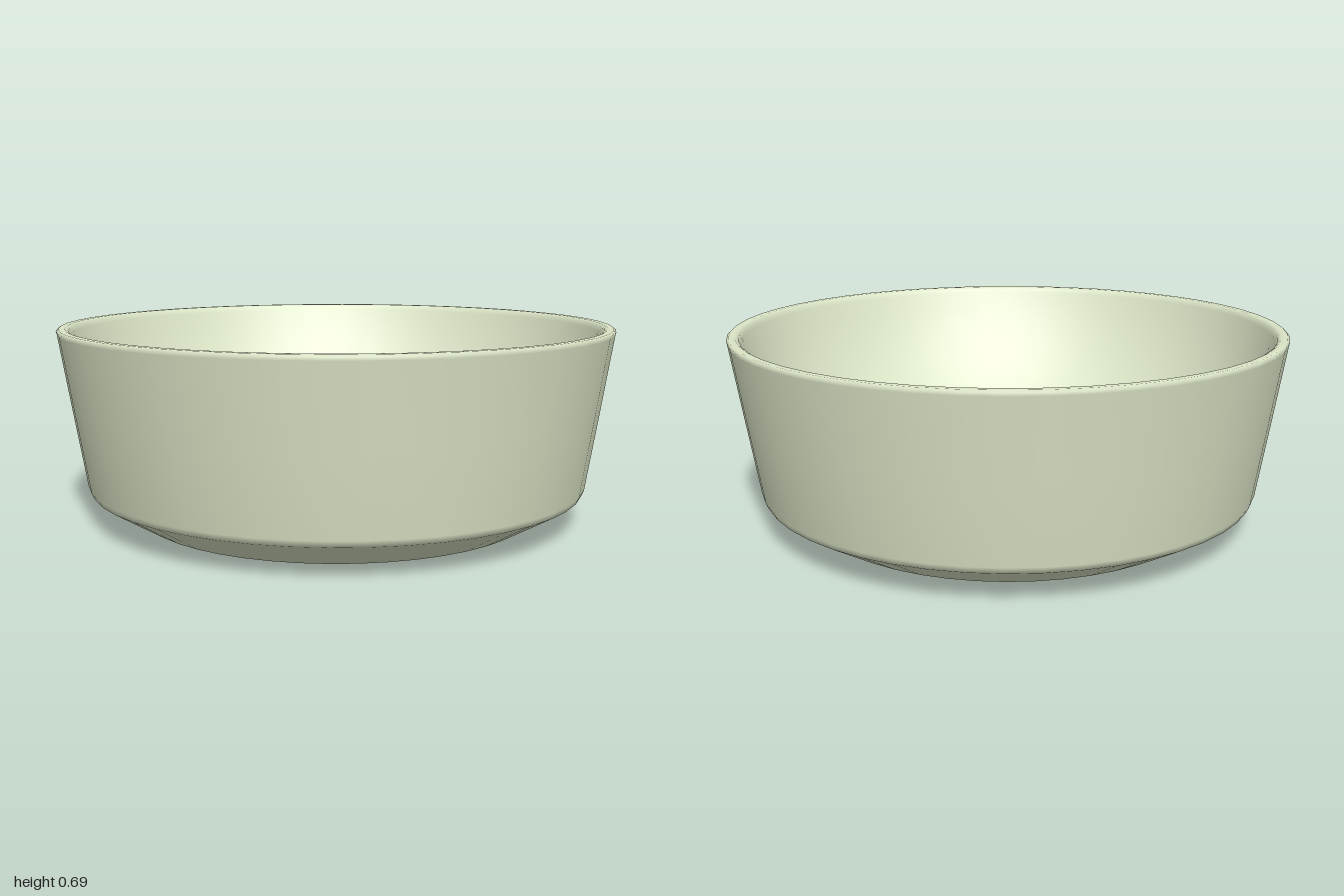
import * as THREE from 'three';
import { mergeVertices, toCreasedNormals } from 'three/addons/utils/BufferGeometryUtils.js';

const SIDES = 48;
const glaze = new THREE.MeshStandardMaterial({ color: 0xdbe5c6 });
const metal = new THREE.MeshStandardMaterial({ color: 0xcccccc });

// Smooth shell through elliptical rings, each given as [x radius, y, z radius]
function ringShell(rings) {
  let geo = new THREE.LatheGeometry(rings.map(([rx, y]) => new THREE.Vector2(rx, y)), SIDES);
  const pos = geo.attributes.position;
  for (let i = 0; i < pos.count; i++) {
    const [rx, , rz = rx] = rings[i % rings.length];
    pos.setZ(i, pos.getZ(i) * rz / rx);
  }
  geo.deleteAttribute('uv');
  geo.deleteAttribute('normal');
  geo = mergeVertices(geo);
  geo.computeVertexNormals();
  return geo;
}

// Turned part with sharp edges
function turned(points) {
  const geo = new THREE.LatheGeometry(points.map(([r, y]) => new THREE.Vector2(r, y)), SIDES);
  return toCreasedNormals(geo, 0.6);
}

export function createModel() {
  const model = new THREE.Group();
  const add = (name, geo, mat, parent = model) => {
    const mesh = new THREE.Mesh(geo, mat);
    mesh.name = name;
    parent.add(mesh);
    return mesh;
  };

  // Inner wall curves from the rim down to the slightly oval floor
  const curve = new THREE.QuadraticBezierCurve(
    new THREE.Vector2(0.95, 0.67), new THREE.Vector2(0.8, 0.24), new THREE.Vector2(0.415, 0.06));
  const inner = curve.getPoints(14).map((p, i) => [p.x, p.y, p.x - 0.035 * i / 14]);

  // Basin: chamfered foot, flared outer wall, thin rounded rim, inner wall
  add('basinWall', ringShell([
    [0.72, 0], [0.895, 0.108, 0.915], [0.905, 0.13, 0.923], [0.95, 0.4, 0.96],
    [0.995, 0.675], [0.998, 0.686], [0.99, 0.693], [0.968, 0.693], [0.956, 0.686],
    ...inner,
  ]), glaze);
  add('basinFloor', ringShell([[0.415, 0.06, 0.38], [0.09, 0.06]]), glaze);
  add('basinUnderside', ringShell([[0.09, 0], [0.72, 0]]), glaze);

  // Drain: flanged sleeve with a plug sitting in it
  const drain = new THREE.Group();
  drain.name = 'drain';
  model.add(drain);
  add('drainSleeve', turned([
    [0.092, 0], [0.092, 0.058], [0.112, 0.058], [0.112, 0.066], [0.105, 0.069],
    [0.086, 0.069], [0.082, 0.055], [0.082, 0], [0.092, 0],
  ]), metal, drain);
  add('drainSeat', new THREE.CylinderGeometry(0.082, 0.082, 0.008, SIDES), metal, drain).position.y = 0.024;
  add('drainPlug', turned([
    [0.062, 0.026], [0.072, 0.035], [0.072, 0.058], [0.068, 0.063], [0, 0.064],
  ]), metal, drain);

  return model;
}
